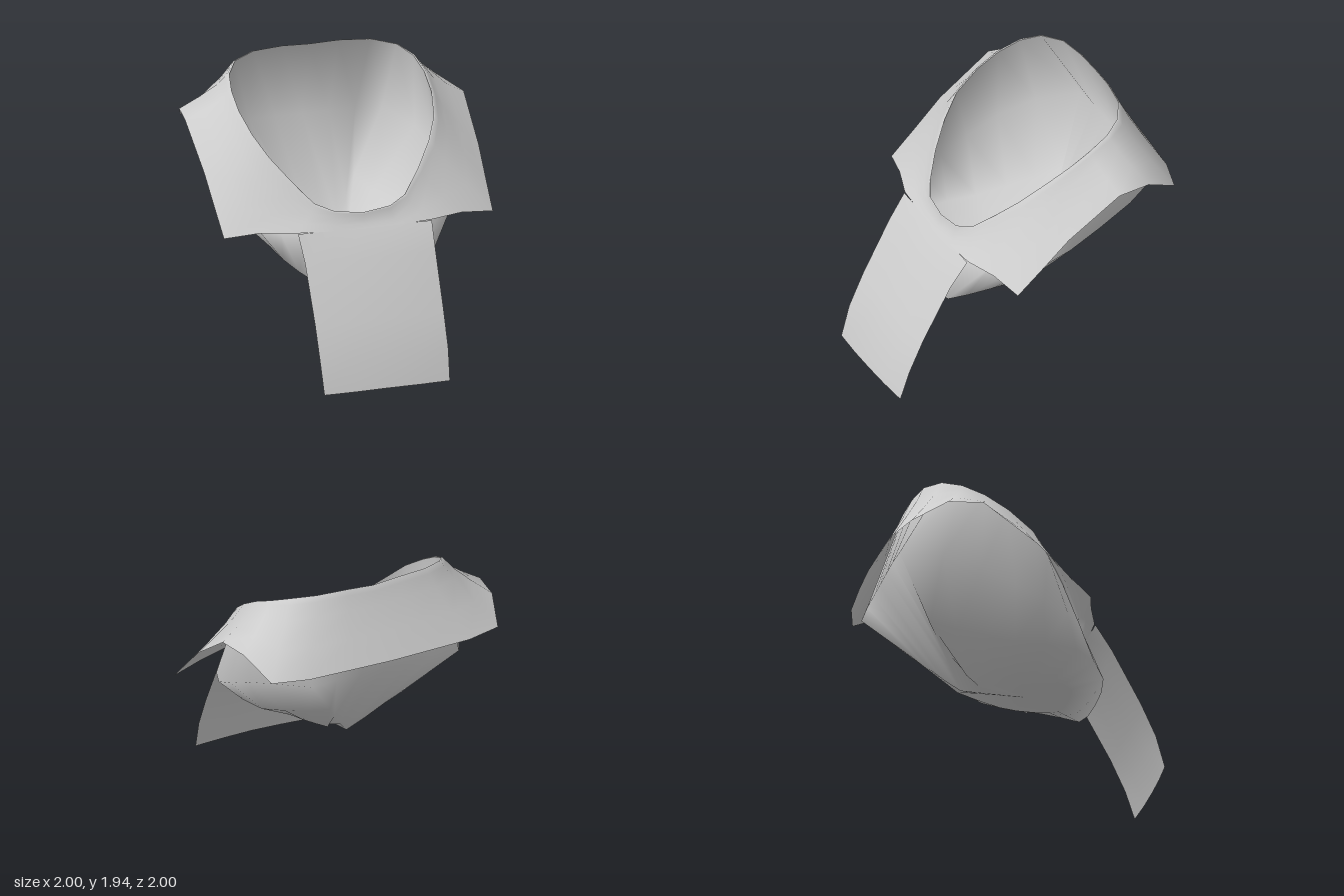
import * as THREE from 'three';

const cloth = new THREE.MeshStandardMaterial({ color: 0xcccccc, side: THREE.DoubleSide });
cloth.name = 'pale grey cloth';

// Half outlines run from front centre, round the left side, to back centre.
const rim = [[0, 1.09, .44], [.2, 1.115, .425], [.32, 1.165, .365], [.45, 1.305, .26], [.57, 1.45, .13],
  [.65, 1.58, 0], [.69, 1.7, -.18], [.69, 1.79, -.34], [.66, 1.86, -.49], [.58, 1.91, -.61],
  [.42, 1.935, -.7], [.2, 1.94, -.73], [0, 1.93, -.74]];
const hem = [[0, 1, .49], [.22, 1, .49], [.48, 1.01, .48], [.72, 1.01, .4], [.965, .975, .34],
  [.975, 1.15, .15], [.985, 1.33, -.04], [1, 1.59, -.42], [.965, 1.59, -.66], [.88, 1.46, -.9],
  [.62, 1.46, -.97], [.3, 1.465, -.99], [0, 1.465, -1]];
const belly = [[0, .95, .455], [.22, .95, .45], [.4, .96, .42], [.56, .97, .35], [.69, .98, .24],
  [.77, 1.01, .06], [.79, 1.1, -.15], [.78, 1.21, -.38], [.72, 1.3, -.64], [.57, 1.36, -.91],
  [.38, 1.37, -.915], [.19, 1.37, -.915], [0, 1.37, -.915]];
const sole = [[0, .63, .6], [.2, .635, .595], [.36, .66, .57], [.47, .73, .48], [.54, .78, .34],
  [.55, .79, .12], [.51, .8, -.08], [.44, .86, -.28], [.36, .92, -.46], [.28, .99, -.63],
  [.19, .87, -.53], [.1, .75, -.44], [0, .635, -.35]];

// Mirrors a half outline into a closed ring.
function ring(half) {
  const left = half.map((p) => new THREE.Vector3(...p));
  const right = left.slice(1, -1).reverse().map((p) => new THREE.Vector3(-p.x, p.y, p.z));
  return [...left, ...right];
}

// Joins rows of points into a smooth skin; closed rows wrap round.
function skin(rows, closed) {
  const n = rows[0].length, index = [];
  for (let r = 0; r < rows.length - 1; r++) {
    for (let i = 0; i < (closed ? n : n - 1); i++) {
      const j = (i + 1) % n, a = r * n + i, b = r * n + j;
      index.push(a, a + n, b, b, a + n, b + n);
    }
  }
  const geo = new THREE.BufferGeometry().setFromPoints(rows.flat());
  geo.setIndex(index);
  geo.computeVertexNormals();
  return geo;
}

const blend = (a, b, t, lift = 0) => a.map((p, i) => {
  const q = p.clone().lerp(b[i], t);
  q.y += lift;
  return q;
});

export function createModel() {
  const group = new THREE.Group();
  const add = (name, geo) => {
    const mesh = new THREE.Mesh(geo, cloth);
    mesh.name = name;
    group.add(mesh);
  };
  const top = ring(rim), edge = ring(hem), wide = ring(belly), low = ring(sole);

  // Collar rolling over at the neck opening, then flaring to the hem
  add('collar', skin([top, blend(top, edge, .03, .012), blend(top, edge, .09, .006),
    blend(top, edge, .25, -.012), blend(top, edge, .6, -.012), edge], true));

  // Soft pouch hanging from the opening, with a flat base
  const base = low.map((p) => new THREE.Vector3(p.x * .5, .633 + (p.y - .633) * .15, .1 + (p.z - .1) * .6));
  const centre = low.map(() => new THREE.Vector3(0, .633, .1));
  add('pouch', skin([top, wide, low, base, centre], true));

  // Long front panel, slightly bowed, curving forward to the ground
  const path = [[1.005, .485, .48], [.83, .605, .468], [.45, .81, .462], [.22, .915, .46], [.012, .98, .45]];
  const rows = path.map(([y, z, w], r) => [-1, -.5, 0, .5, 1].map((s) =>
    new THREE.Vector3(s * w, y + (r === 4 ? .006 * (s - Math.abs(s)) : 0), z + .018 * (1 - s * s) * Math.min(r, 1))));
  add('frontPanel', skin(rows, false));
  return group;
}
